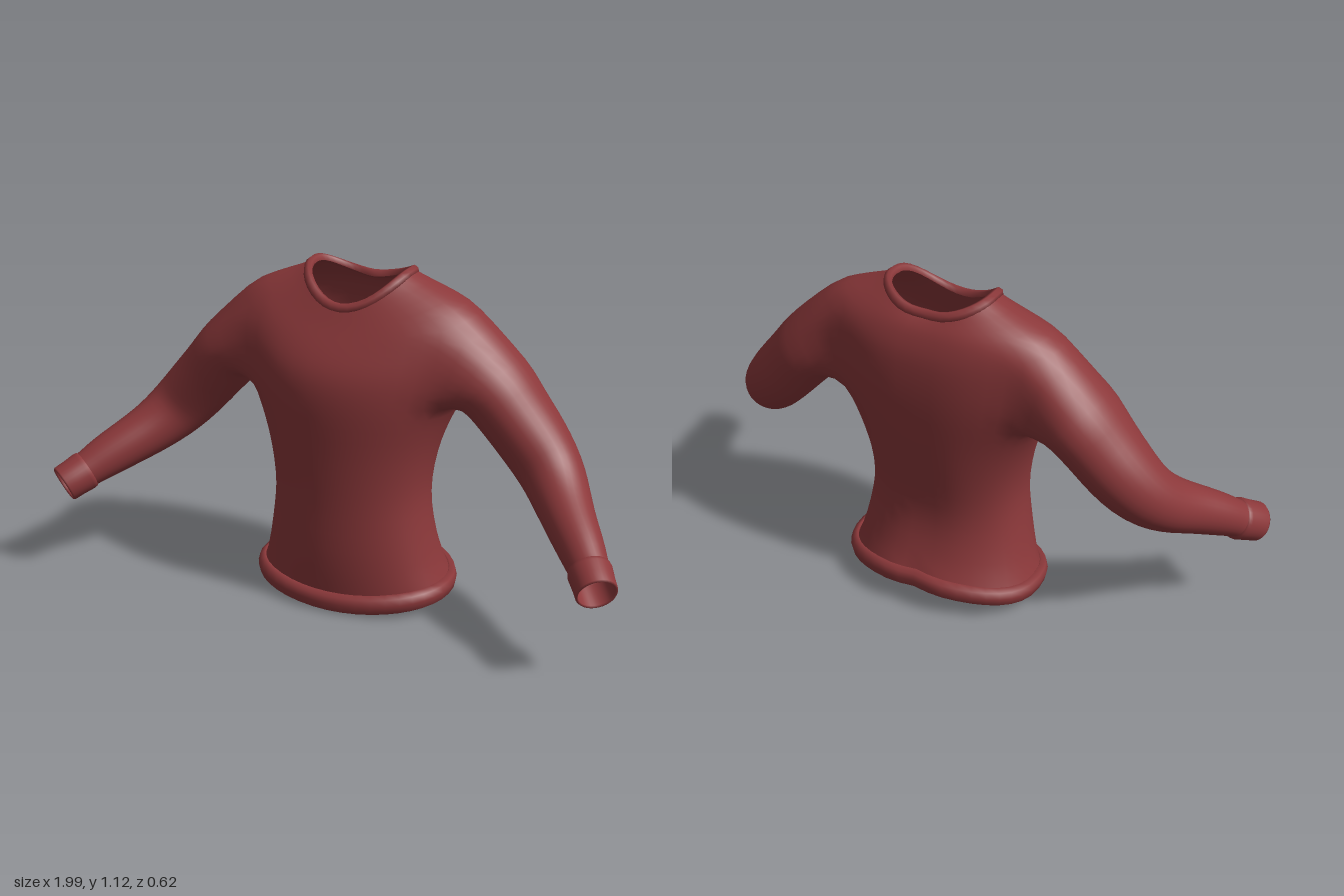
import * as THREE from 'three';

const wool = new THREE.MeshStandardMaterial({ color: 0x8b383a, side: THREE.DoubleSide });
wool.name = 'red wool';

const COLS = 40, HALF = 4;            // columns round the torso, armhole half-width in columns
const HOLE_LOW = 14, HOLE_TOP = 22;   // torso rows at the armpit and the shoulder
const LOOP = 4 * HALF + 2 * (HOLE_TOP - HOLE_LOW);

// torso sections: half width, side y, side z, front y, front z, back y, back z
const torsoRows = [
  [0.322, 0.08, -0.06, 0.05, 0.152, 0.12, -0.29],
  [0.295, 0.17, -0.05, 0.15, 0.165, 0.19, -0.26],
  [0.275, 0.28, -0.04, 0.28, 0.163, 0.28, -0.234],
  [0.264, 0.37, -0.04, 0.37, 0.163, 0.37, -0.232],
  [0.272, 0.46, -0.04, 0.46, 0.166, 0.46, -0.246],
  [0.292, 0.55, -0.05, 0.55, 0.17, 0.55, -0.26],
  [0.325, 0.64, -0.06, 0.64, 0.177, 0.64, -0.272],
  [0.36, 0.71, -0.08, 0.71, 0.179, 0.72, -0.28],
  [0.385, 0.78, -0.09, 0.77, 0.174, 0.80, -0.284],
  [0.4, 0.86, -0.09, 0.82, 0.16, 0.87, -0.282],
  [0.41, 0.94, -0.09, 0.87, 0.132, 0.93, -0.276],
  [0.4, 1.005, -0.095, 0.91, 0.107, 0.97, -0.263],
  [0.33, 1.04, -0.1, 0.945, 0.085, 1.005, -0.25],
  [0.235, 1.075, -0.1, 0.975, 0.068, 1.03, -0.232],
  [0.17, 1.102, -0.1, 1.0, 0.053, 1.05, -0.21],
];

// sleeve sections: centre x, y, z, front-back radius, up-down radius
const sleeveRows = [
  [0.47, 0.77, -0.09, 0.152, 0.122],
  [0.535, 0.695, -0.085, 0.136, 0.115],
  [0.605, 0.615, -0.078, 0.124, 0.112],
  [0.675, 0.535, -0.052, 0.105, 0.105],
  [0.735, 0.475, 0.01, 0.092, 0.092],
  [0.79, 0.432, 0.08, 0.08, 0.082],
  [0.85, 0.388, 0.15, 0.07, 0.074],
  [0.895, 0.35, 0.205, 0.06, 0.062],
];

// smooth in-between rows for a table of sections
function refine(rows, steps) {
  const out = [], at = (i) => rows[Math.min(Math.max(i, 0), rows.length - 1)];
  for (let i = 0; i < rows.length - 1; i++) {
    for (let s = 0; s < steps; s++) {
      const t = s / steps;
      out.push(rows[i].map((b, k) => {
        const a = at(i - 1)[k], c = at(i + 1)[k], d = at(i + 2)[k];
        return b + 0.5 * t * (c - a + t * (2 * a - 5 * b + 4 * c - d + t * (3 * (b - c) + d - a)));
      }));
    }
  }
  out.push(rows[rows.length - 1]);
  return out;
}

function torsoPoint([w, ys, zs, yf, zf, yb, zb], j) {
  const a = (j / COLS) * Math.PI * 2, s = Math.sin(a);
  const x = w * Math.cos(a), m = Math.abs(s) ** 0.85;
  const y = ys + ((s > 0 ? yf : yb) - ys) * s * s;
  let z = zs + ((s > 0 ? zf : zb) - zs) * m;
  if (s < 0) z += 0.014 * Math.exp(-((x / 0.05) ** 2));   // spine groove
  return new THREE.Vector3(x, y, z);
}

// points round a sleeve section, starting underneath and turning to the front
function sleeveRing(center, tangent, rz, rv, mirror) {
  const u = new THREE.Vector3(0, 0, 1).addScaledVector(tangent, -tangent.z).normalize();
  const v = new THREE.Vector3().crossVectors(u, tangent);
  return Array.from({ length: LOOP }, (_, k) => {
    const a = (k / LOOP) * Math.PI * 2;
    const p = center.clone().addScaledVector(u, rz * Math.sin(a)).addScaledVector(v, -rv * Math.cos(a));
    p.x *= mirror;
    return p;
  });
}

function toGeometry(points, index) {
  const g = new THREE.BufferGeometry().setFromPoints(points);
  g.setIndex(index);
  g.computeVertexNormals();
  return g;
}

function quad(index, a, b, c, d, flip) {
  if (flip) index.push(a, c, b, a, d, c);
  else index.push(a, b, c, a, c, d);
}

// surface through a list of closed rings
function loft(rings, flip = false) {
  const n = rings[0].length, index = [];
  for (let i = 0; i < rings.length - 1; i++) {
    for (let k = 0; k < n; k++) {
      const l = (k + 1) % n;
      quad(index, i * n + k, (i + 1) * n + k, (i + 1) * n + l, i * n + l, flip);
    }
  }
  return toGeometry(rings.flat(), index);
}

// pull every free vertex towards its neighbours
function relax(points, index, pinned, rounds) {
  const near = points.map(() => new Set());
  for (let i = 0; i < index.length; i += 3) {
    for (let e = 0; e < 3; e++) {
      const a = index[i + e], b = index[i + (e + 1) % 3];
      near[a].add(b);
      near[b].add(a);
    }
  }
  for (let r = 0; r < rounds; r++) {
    const old = points.map((p) => p.clone());
    points.forEach((p, i) => {
      if (pinned.has(i)) return;
      const mean = new THREE.Vector3();
      near[i].forEach((j) => mean.add(old[j]));
      p.lerp(mean.divideScalar(near[i].size), 0.5);
    });
  }
}

const sleeve = refine(sleeveRows, 3);
const centers = sleeve.map((r) => new THREE.Vector3(r[0], r[1], r[2]));
const tangents = centers.map((_, i) => new THREE.Vector3().subVectors(
  centers[Math.min(i + 1, centers.length - 1)], centers[Math.max(i - 1, 0)]).normalize());

// torso and both sleeves as one seamless knit
function knitBody() {
  const rows = refine(torsoRows, 2), points = [], index = [], pinned = new Set();
  const id = (r, j) => r * COLS + ((j + COLS) % COLS);
  rows.forEach((row, r) => {
    for (let j = 0; j < COLS; j++) {
      points.push(torsoPoint(row, j));
      if (r === 0 || r === rows.length - 1) pinned.add(id(r, j));
    }
  });
  const inHole = (r, j) => r >= HOLE_LOW && r < HOLE_TOP &&
    [0, COLS / 2].some((c) => ((j - c + HALF + COLS) % COLS) < 2 * HALF);
  for (let r = 0; r < rows.length - 1; r++) {
    for (let j = 0; j < COLS; j++) {
      if (!inHole(r, j)) quad(index, id(r, j), id(r + 1, j), id(r + 1, j + 1), id(r, j + 1));
    }
  }
  for (const m of [1, -1]) {
    // armhole edge, starting at the armpit and turning to the front
    const col = (j) => (m > 0 ? j : COLS / 2 - j);
    let loop = [];
    for (let j = 0; j < HALF; j++) loop.push(id(HOLE_LOW, col(j)));
    for (let r = HOLE_LOW; r < HOLE_TOP; r++) loop.push(id(r, col(HALF)));
    for (let j = HALF; j > -HALF; j--) loop.push(id(HOLE_TOP, col(j)));
    for (let r = HOLE_TOP; r > HOLE_LOW; r--) loop.push(id(r, col(-HALF)));
    for (let j = -HALF; j < 0; j++) loop.push(id(HOLE_LOW, col(j)));

    const rings = sleeve.map((s, i) => sleeveRing(centers[i], tangents[i], s[3], s[4], m));
    for (const t of [0.67, 0.33]) {
      rings.unshift(sleeveRing(centers[0], tangents[0], sleeve[0][3], sleeve[0][4], m)
        .map((p, k) => p.lerp(points[loop[k]], 1 - t)));
    }
    rings.forEach((ring, i) => {
      const next = ring.map((p) => points.push(p) - 1);
      for (let k = 0; k < LOOP; k++) {
        const l = (k + 1) % LOOP;
        quad(index, loop[k], next[k], next[l], loop[l], m < 0);
      }
      if (i === rings.length - 1) next.forEach((v) => pinned.add(v));
      loop = next;
    });
  }
  relax(points, index, pinned, 3);
  return toGeometry(points, index);
}

// rolled band round one torso section; profile holds [outward, up] offsets
function band(row, profile) {
  return loft([...profile, profile[0]].map(([out, up]) => Array.from({ length: COLS }, (_, j) => {
    const p = torsoPoint(row, j);
    const dir = new THREE.Vector3(p.x / row[0], 0, (p.z - row[2]) / 0.2).normalize();
    p.addScaledVector(dir, out);
    p.y += up;
    return p;
  })));
}

export function createModel() {
  const model = new THREE.Group();
  model.name = 'sweater';
  const add = (name, geometry) => {
    const mesh = new THREE.Mesh(geometry, wool);
    mesh.name = name;
    model.add(mesh);
  };

  add('knitBody', knitBody());
  add('hemBand', band(torsoRows[0], [
    [-0.008, -0.04], [0.006, -0.052], [0.018, -0.044], [0.024, -0.018], [0.018, 0.004], [0, 0.014], [-0.008, 0]]));
  add('collarBand', band(torsoRows[torsoRows.length - 1], [
    [-0.012, -0.008], [0.004, -0.016], [0.016, -0.012], [0.014, 0.004], [0.002, 0.013], [-0.01, 0.008]]));

  // cuffs: [distance along the wrist, radius], turned in at the opening
  const wrist = new THREE.Vector3(0.895, 0.35, 0.205);
  const along = new THREE.Vector3(0.05, -0.04, 0.07).normalize();
  const cuff = [[-0.006, 0.058], [-0.002, 0.066], [0.01, 0.068], [0.05, 0.065], [0.086, 0.064], [0.092, 0.06], [0.086, 0.056], [0.01, 0.055]];
  for (const [name, m] of [['leftCuff', 1], ['rightCuff', -1]]) {
    add(name, loft(cuff.map(([d, r]) =>
      sleeveRing(wrist.clone().addScaledVector(along, d), along, r, r, m)), m < 0));
  }
  return model;
}
